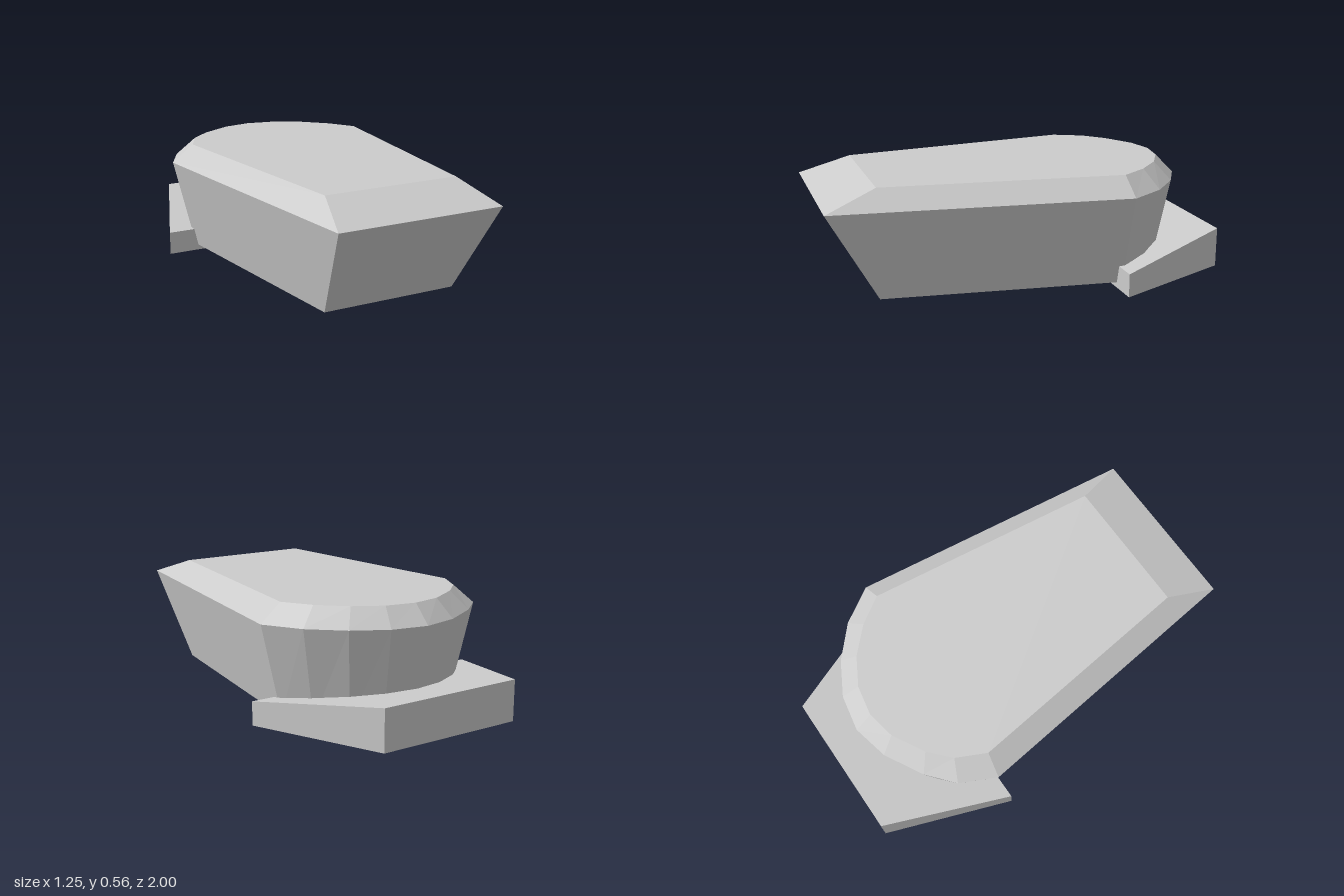
import * as THREE from 'three';

// Closed solid lofted through rings of [x, y, z] corners, counterclockwise from above, lowest ring first.
function loft(name, rings) {
  const n = rings[0].length;
  const positions = [];
  const tri = (a, b, c) => positions.push(...a, ...b, ...c);
  for (let r = 0; r < rings.length - 1; r++) {
    const lo = rings[r], hi = rings[r + 1];
    for (let i = 0; i < n; i++) {
      const j = (i + 1) % n;
      tri(lo[i], lo[j], hi[j]);
      tri(lo[i], hi[j], hi[i]);
    }
  }
  const bottom = rings[0], top = rings[rings.length - 1];
  for (let i = 1; i < n - 1; i++) {
    tri(bottom[0], bottom[i + 1], bottom[i]);
    tri(top[0], top[i], top[i + 1]);
  }
  const geometry = new THREE.BufferGeometry();
  geometry.setAttribute('position', new THREE.Float32BufferAttribute(positions, 3));
  geometry.computeVertexNormals();
  const material = new THREE.MeshStandardMaterial({ color: 0xcccccc, flatShading: true });
  const mesh = new THREE.Mesh(geometry, material);
  mesh.name = name;
  return mesh;
}

const atHeight = (outline, y) => outline.map(([x, z]) => [x, y, z]);

export function createModel() {
  const group = new THREE.Group();
  group.name = 'wedgeBlock';

  // Tapered body with a rounded back: widest at the belt, drawn in above and below
  const belt = [
    [0.425, 1], [0.595, -0.42], [0.485, -0.595], [0.337, -0.728], [0.175, -0.817], [-0.003, -0.85],
    [-0.18, -0.81], [-0.365, -0.708], [-0.492, -0.6], [-0.577, -0.428], [-0.407, 1],
  ];
  const inner = [
    [0.347, 0.75], [0.487, -0.412], [0.4, -0.545], [0.28, -0.66], [0.145, -0.735], [-0.003, -0.762],
    [-0.145, -0.735], [-0.3, -0.648], [-0.402, -0.555], [-0.472, -0.412], [-0.333, 0.75],
  ];
  group.add(loft('body', [atHeight(inner, 0.027), atHeight(belt, 0.474), atHeight(inner, 0.562)]));

  // Trapezoid foot under the back, its top rising towards the rear
  const foot = [[0.625, -0.385], [0.345, -1], [-0.397, -1], [-0.625, -0.385]];
  const footTop = foot.map(([x, z]) => [x, z < -0.5 ? 0.2 : 0.115, z]);
  group.add(loft('rearFoot', [atHeight(foot, 0), footTop]));

  return group;
}
